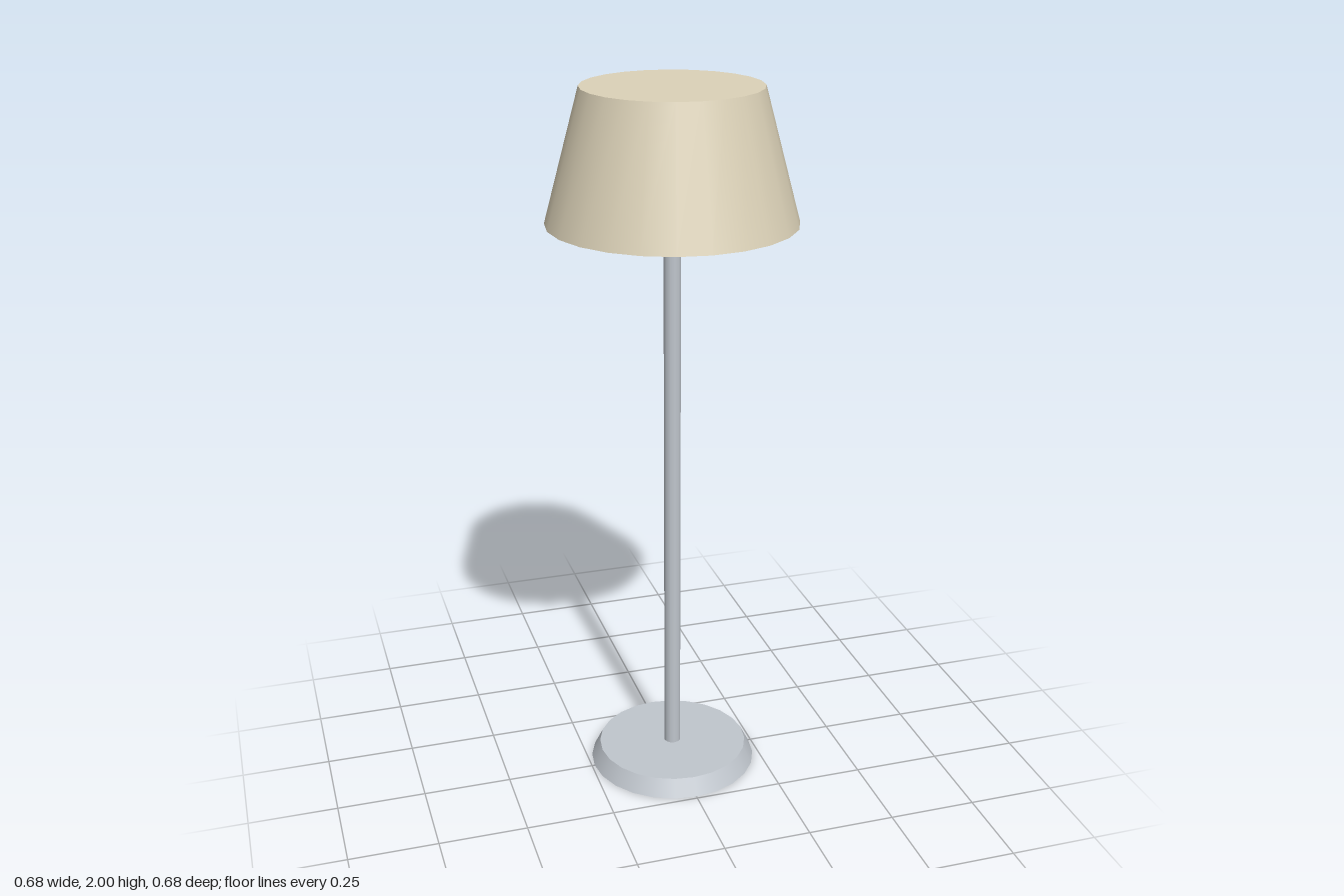
import * as THREE from 'three';

export function createModel() {
  const lamp = new THREE.Group();
  lamp.name = 'tableLamp';

  const metal = new THREE.MeshStandardMaterial({ color: 0xc0c6cd });
  metal.name = 'brushedMetal';
  const fabric = new THREE.MeshStandardMaterial({ color: 0xdcd2b8 });
  fabric.name = 'creamFabric';

  const add = (name, geometry, material, y) => {
    const mesh = new THREE.Mesh(geometry, material);
    mesh.name = name;
    mesh.position.y = y;
    lamp.add(mesh);
  };

  // Tapered round part standing between two heights
  const taper = (name, rTop, rBottom, y0, y1, sides, material) =>
    add(name, new THREE.CylinderGeometry(rTop, rBottom, y1 - y0, sides), material, (y0 + y1) / 2);

  taper('base', 0.217, 0.242, 0, 0.05, 24, metal);
  taper('pole', 0.024, 0.024, 0.05, 1.66, 12, metal);
  taper('shade', 0.242, 0.339, 1.64, 2, 24, fabric);

  // Rounded socket showing just below the shade
  add('socket', new THREE.SphereGeometry(0.085, 20, 14), metal, 1.705);

  return lamp;
}
